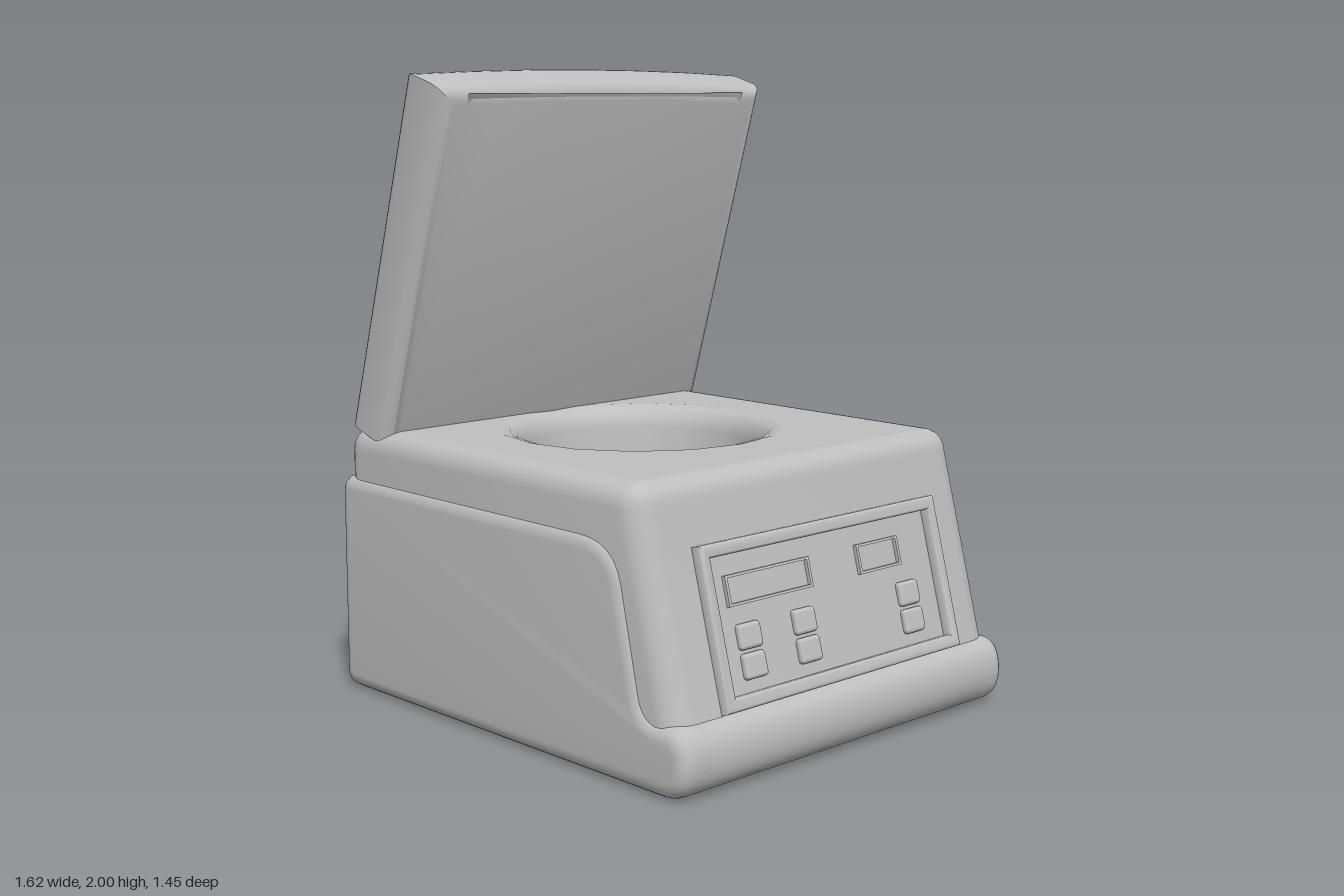
import * as THREE from 'three';
import { toCreasedNormals } from 'three/addons/utils/BufferGeometryUtils.js';
import { RoundedBoxGeometry } from 'three/addons/geometries/RoundedBoxGeometry.js';

const grey = new THREE.MeshStandardMaterial({ color: 0xbfbfbf });
grey.name = 'grey plastic';

function add(parent, name, geometry, x = 0, y = 0, z = 0) {
  const mesh = new THREE.Mesh(geometry, grey);
  mesh.name = name;
  mesh.position.set(x, y, z);
  parent.add(mesh);
  return mesh;
}

// Extrusion from z = 0 to depth whose rounded edges stay inside the shape
function slab(shape, depth, bevel) {
  const geometry = new THREE.ExtrudeGeometry(shape, {
    depth: depth - 2 * bevel, bevelEnabled: bevel > 0, bevelSize: bevel,
    bevelThickness: bevel, bevelOffset: -bevel, bevelSegments: 4, curveSegments: 6,
  });
  geometry.translate(0, 0, bevel);
  return toCreasedNormals(geometry, 0.65);
}

function rect(x0, y0, x1, y1, target = new THREE.Shape()) {
  target.moveTo(x0, y0);
  target.lineTo(x1, y0);
  target.lineTo(x1, y1);
  target.lineTo(x0, y1);
  target.closePath();
  return target;
}

// Rounded rectangle seen from above, counterclockwise
function roundedLoop(x0, x1, halfZ, r) {
  const points = [];
  const corners = [[x1 - r, halfZ - r], [x0 + r, halfZ - r], [x0 + r, -halfZ + r], [x1 - r, -halfZ + r]];
  corners.forEach(([cx, cy], c) => {
    for (let i = 0; i <= 5; i++) {
      const a = (c + i / 5) * Math.PI / 2;
      points.push(new THREE.Vector2(cx + r * Math.cos(a), cy + r * Math.sin(a)));
    }
  });
  return points;
}

// Inner body: sloped front, rounded top edge, flat top and round well
function buildBody() {
  const body = new THREE.Group();
  body.name = 'body';
  const levels = [{ y: 0.1, front: 0.78, inset: 0 }];
  for (let i = 0; i <= 5; i++) {
    const a = i / 5 * Math.PI / 2;
    levels.push({ y: 0.79 + 0.07 * Math.sin(a), front: 0.595, inset: 0.07 * (1 - Math.cos(a)) });
  }
  const loops = levels.map(l => roundedLoop(-0.795 + l.inset, l.front - l.inset, 0.695 - l.inset, 0.08 - l.inset));
  const positions = [], indices = [], n = loops[0].length;
  loops.forEach((loop, j) => loop.forEach((p, i) => {
    positions.push(p.x, levels[j].y, -p.y);
    if (j === 0) return;
    const k = (i + 1) % n, low = (j - 1) * n, high = j * n;
    indices.push(low + i, low + k, high + k, low + i, high + k, high + i);
  }));
  const walls = new THREE.BufferGeometry();
  walls.setAttribute('position', new THREE.Float32BufferAttribute(positions, 3));
  walls.setIndex(indices);
  add(body, 'bodyWalls', toCreasedNormals(walls, 0.7));

  const wellX = -0.14, rim = 0.46;
  const top = new THREE.Shape(loops[loops.length - 1]);
  const hole = [];
  for (let i = 0; i < 16; i++) {
    const a = -i / 16 * Math.PI * 2;
    hole.push(new THREE.Vector2(wellX + rim * Math.cos(a), rim * Math.sin(a)));
  }
  top.holes.push(new THREE.Path(hole));
  add(body, 'bodyTop', new THREE.ShapeGeometry(top).rotateX(-Math.PI / 2), 0, 0.86, 0);

  const profile = [[rim, 0.86], [0.425, 0.852], [0.4, 0.83], [0.388, 0.79], [0.385, 0.52], [0, 0.52]];
  const well = new THREE.LatheGeometry(profile.map(p => new THREE.Vector2(...p)), 16);
  add(body, 'well', toCreasedNormals(well, 0.7), wellX, 0, 0);
  return body;
}

// Outer shell: two cheeks joined by a base, lip and back wall
function buildShell() {
  const shell = new THREE.Group();
  shell.name = 'shell';
  const outline = inner => {
    const s = new THREE.Shape();
    s.moveTo(-0.75, 0);
    s.lineTo(0.71, 0);
    s.quadraticCurveTo(0.805, 0.01, 0.805, 0.11);
    s.quadraticCurveTo(0.8, 0.21, 0.73, 0.21);
    inner(s);
    s.lineTo(-0.75, 0.705);
    s.quadraticCurveTo(-0.81, 0.705, -0.81, 0.64);
    s.lineTo(-0.81, 0.06);
    s.quadraticCurveTo(-0.81, 0, -0.75, 0);
    return s;
  };
  const cheek = outline(s => {
    s.lineTo(0.69, 0.21);
    s.quadraticCurveTo(0.63, 0.21, 0.615, 0.27);
    s.lineTo(0.545, 0.58);
    s.quadraticCurveTo(0.515, 0.705, 0.36, 0.705);
  });
  const frame = outline(s => {
    s.lineTo(-0.66, 0.21);
    s.lineTo(-0.66, 0.705);
  });
  for (const side of [-1, 1]) {
    add(shell, side > 0 ? 'frontCheek' : 'backCheek', slab(cheek, 0.15, 0.045), 0, 0, side * 0.635 - 0.075);
  }
  add(shell, 'baseAndBackWall', slab(frame, 1.3, 0), 0, 0, -0.65);
  return shell;
}

// Lid: rounded frame, recessed panel and sealing ring
function buildLid() {
  const lid = new THREE.Group();
  lid.name = 'lid';
  const shape = new THREE.Shape();
  shape.moveTo(-0.69, 0);
  shape.lineTo(0.69, 0);
  shape.lineTo(0.69, 1.17);
  shape.quadraticCurveTo(0, 1.205, -0.69, 1.17);
  shape.closePath();
  shape.holes.push(rect(-0.53, 0.07, 0.53, 1.1, new THREE.Path()));
  add(lid, 'lidFrame', slab(shape, 0.205, 0.055));
  add(lid, 'lidPanel', new THREE.BoxGeometry(1.2, 1.1, 0.1), 0, 0.585, 0.051);
  add(lid, 'sealRing', new THREE.TorusGeometry(0.43, 0.062, 10, 16), 0, 0.58, 0.11);
  lid.rotation.set(0, Math.PI / 2, -0.287, 'ZYX');
  lid.position.set(-0.788, 0.873, 0);
  return lid;
}

// Control panel on the sloped face
function buildControls() {
  const panel = new THREE.Group();
  panel.name = 'controlPanel';
  const border = rect(-0.515, -0.238, 0.515, 0.238);
  border.holes.push(rect(-0.475, -0.198, 0.475, 0.198, new THREE.Path()));
  add(panel, 'panelBorder', slab(border, 0.045, 0.012), 0, 0, -0.014);
  for (const [x, width] of [[-0.245, 0.35], [0.235, 0.19]]) {
    const display = rect(-width / 2, -0.045, width / 2, 0.045);
    display.holes.push(rect(-width / 2 + 0.01, -0.037, width / 2 - 0.01, 0.037, new THREE.Path()));
    add(panel, 'displayRim', slab(display, 0.014, 0), x, 0.095, -0.003);
  }
  for (const x of [-0.36, -0.13, 0.34]) {
    for (const y of [-0.04, -0.125]) {
      add(panel, 'button', new RoundedBoxGeometry(0.09, 0.075, 0.034, 2, 0.012), x, y, 0);
    }
  }
  panel.rotation.set(0, Math.PI / 2, 0.262, 'ZYX');
  panel.position.set(0.69, 0.44, 0.005);
  return panel;
}

// Power switch on the back side
function buildSwitch() {
  const power = new THREE.Group();
  power.name = 'powerSwitch';
  add(power, 'switchPlate', new RoundedBoxGeometry(0.15, 0.075, 0.03, 2, 0.005));
  const rocker = add(power, 'switchRocker', new THREE.BoxGeometry(0.07, 0.05, 0.025), 0.035, 0, -0.011);
  rocker.rotation.y = 0.12;
  power.position.set(0.435, 0.135, -0.705);
  return power;
}

export function createModel() {
  const model = new THREE.Group();
  model.name = 'countertopAppliance';
  const housing = new THREE.Group();
  housing.name = 'housing';
  housing.position.z = 0.006;
  housing.add(buildBody(), buildShell());
  model.add(housing, buildLid(), buildControls(), buildSwitch());
  return model;
}
